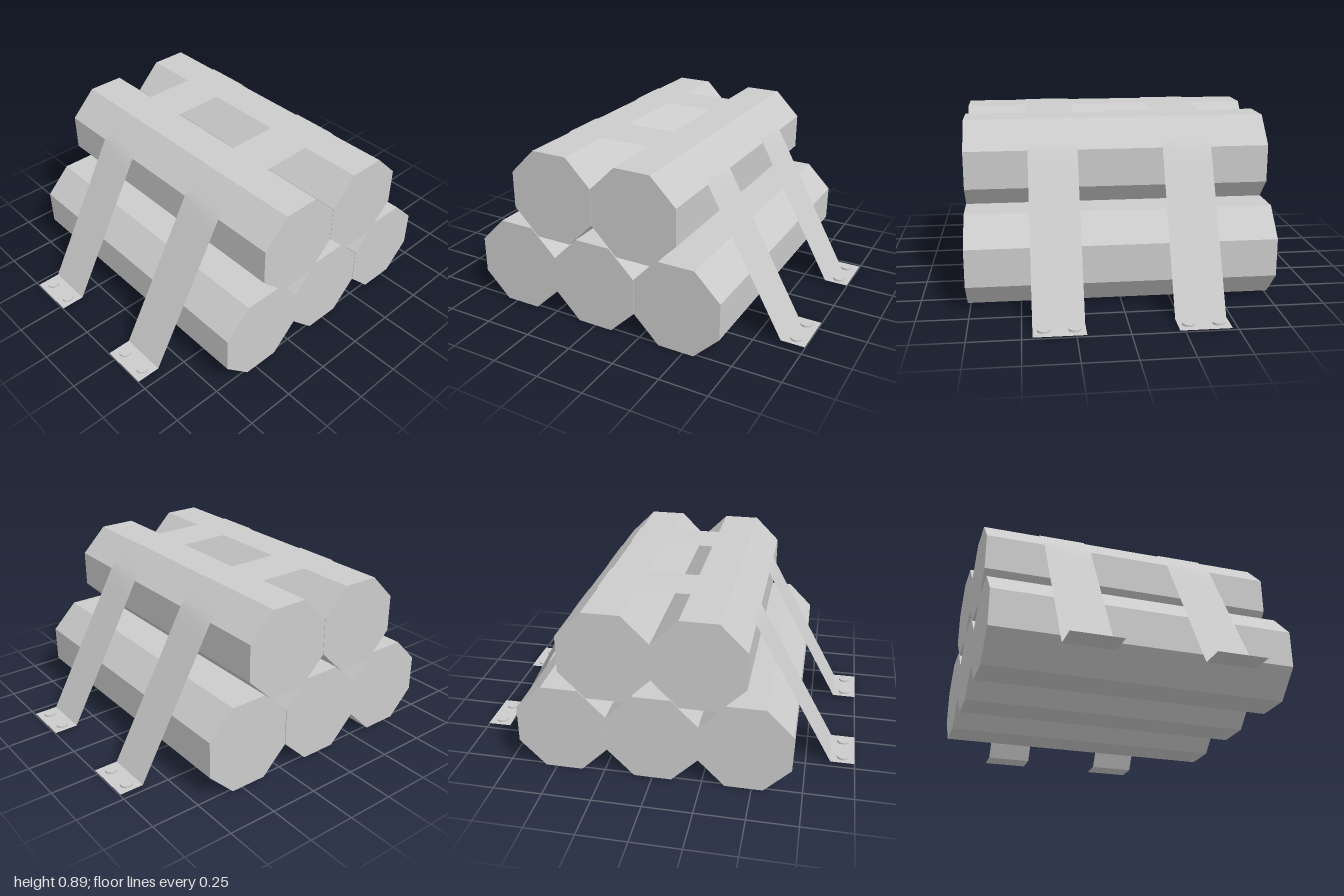
import * as THREE from 'three';
import { toCreasedNormals } from 'three/addons/utils/BufferGeometryUtils.js';

const LOG_LENGTH = 1.533;
const STRAP_WIDTH = 0.247;

// Open sheet swept along z from a profile of [x, y] points running left to right
function sheet(profile, width) {
  const positions = [], index = [];
  profile.forEach(([x, y], i) => {
    positions.push(x, y, -width / 2, x, y, width / 2);
    if (i < profile.length - 1) {
      const a = i * 2;
      index.push(a, a + 1, a + 2, a + 1, a + 3, a + 2);
    }
  });
  const g = new THREE.BufferGeometry();
  g.setAttribute('position', new THREE.Float32BufferAttribute(positions, 3));
  g.setIndex(index);
  return toCreasedNormals(g, THREE.MathUtils.degToRad(30));
}

export function createModel() {
  const group = new THREE.Group();
  const faceted = new THREE.MeshStandardMaterial({ color: 0xcccccc, flatShading: true });
  const smooth = new THREE.MeshStandardMaterial({ color: 0xcccccc });
  const strapMat = new THREE.MeshStandardMaterial({ color: 0xcccccc, side: THREE.DoubleSide });

  // Octagonal logs: three below, two above
  const radius = 0.23 / Math.cos(Math.PI / 8);
  const logGeo = new THREE.CylinderGeometry(radius, radius, LOG_LENGTH, 8)
    .rotateY(Math.PI / 8).rotateX(Math.PI / 2);
  const logs = [[-0.462, 0.23], [-0.002, 0.23], [0.461, 0.23], [-0.231, 0.655], [0.231, 0.655]];
  logs.forEach(([x, y], i) => {
    const log = new THREE.Mesh(logGeo, faceted);
    log.name = i < 3 ? 'lowerLog' : 'upperLog';
    log.position.set(x, y, 0);
    group.add(log);
  });

  // Strap profile: right half, mirrored to the left
  const half = [[0.33, 0.888], [0.435, 0.784], [0.463, 0.752], [0.51, 0.667], [0.876, 0.008], [1, 0.008]];
  const profile = [...half.map(([x, y]) => [-x, y]).reverse(), ...half];
  const strapGeo = sheet(profile, STRAP_WIDTH);
  const rivetGeo = new THREE.CylinderGeometry(0.03, 0.03, 0.01, 24);

  for (const z of [0.327, -0.347]) {
    const strap = new THREE.Group();
    strap.name = 'strapAssembly';
    strap.position.z = z;
    const band = new THREE.Mesh(strapGeo, strapMat);
    band.name = 'strap';
    strap.add(band);
    // Two rivets on each foot
    for (const x of [-0.938, 0.938]) {
      for (const dz of [-0.072, 0.072]) {
        const rivet = new THREE.Mesh(rivetGeo, smooth);
        rivet.name = 'rivet';
        rivet.position.set(x, 0.013, dz);
        strap.add(rivet);
      }
    }
    group.add(strap);
  }
  return group;
}
